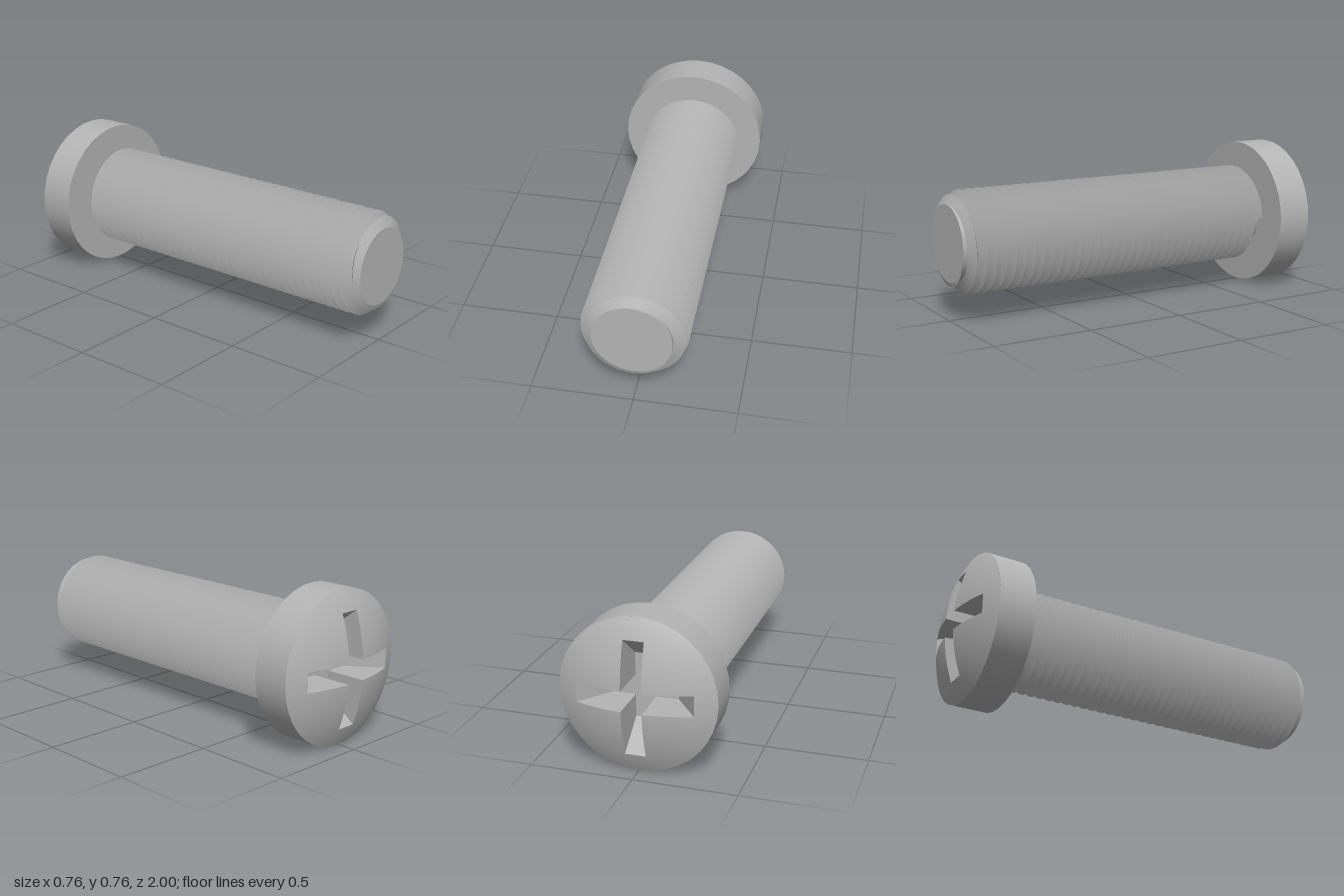
import * as THREE from 'three';

const HEAD_R = 0.38, CORE_R = 0.19, THREAD_R = 0.255, PITCH = 0.05;
const HEAD_FRONT = 0.72, RIM = 0.905;      // distances along the axis towards the head
const SPHERE_R = 0.8075;                   // radius of the domed top
const ARM = 0.28, HALF = 0.05, FLAT = 0.16, FLOOR = 0.79; // cross recess

const domeHeight = (x, y) => 1 - SPHERE_R + Math.sqrt(SPHERE_R ** 2 - x * x - y * y);

function meshFrom(name, positions, index, material, normals) {
  const g = new THREE.BufferGeometry();
  g.setAttribute('position', new THREE.Float32BufferAttribute(positions, 3));
  if (index) g.setIndex(index);
  if (normals) g.setAttribute('normal', new THREE.Float32BufferAttribute(normals, 3));
  else g.computeVertexNormals();
  return named(name, g, material);
}

function named(name, geometry, material) {
  const m = new THREE.Mesh(geometry, material);
  m.name = name;
  return m;
}

// Quarter turns about the axis
function turn([x, y], k) {
  for (let i = 0; i < k; i++) [x, y] = [-y, x];
  return [x, y];
}

// Cross-shaped outline, counter-clockwise
function crossOutline() {
  const steps = [0.05, 0.06, 0.07, 0.085, 0.105, 0.13, 0.16, 0.2, 0.24, ARM];
  const arm = [
    ...steps.map((s) => [s, -HALF]),
    [ARM, -0.025], [ARM, 0], [ARM, 0.025],
    ...steps.slice(1).reverse().map((s) => [s, HALF]),
  ];
  return [0, 1, 2, 3].flatMap((k) => arm.map((p) => turn(p, k)));
}

// Domed top running from the cross outline to the 36-sided rim
function makeDome(outline, material) {
  const rings = 10, n = outline.length, pos = [], nor = [], idx = [];
  const step = Math.PI / 18;
  for (const [x, y] of outline) {
    const a = Math.atan2(y, x);
    const local = a - Math.floor(a / step) * step - step / 2;
    const r = HEAD_R * Math.cos(step / 2) / Math.cos(local);
    for (let j = 0; j <= rings; j++) {
      const px = THREE.MathUtils.lerp(x, r * Math.cos(a), j / rings);
      const py = THREE.MathUtils.lerp(y, r * Math.sin(a), j / rings);
      const w = domeHeight(px, py);
      pos.push(px, py, w);
      nor.push(px / SPHERE_R, py / SPHERE_R, (w - 1 + SPHERE_R) / SPHERE_R);
    }
  }
  for (let i = 0; i < n; i++) {
    for (let j = 0; j < rings; j++) {
      const a = i * (rings + 1) + j, b = ((i + 1) % n) * (rings + 1) + j;
      idx.push(a, a + 1, b + 1, a, b + 1, b);
    }
  }
  return meshFrom('headDome', pos, idx, material, nor);
}

// Walls and floor of the cross recess
function makeRecess(outline, material) {
  const pos = [];
  const quad = (a, b, c, d) => pos.push(...a, ...b, ...c, ...a, ...c, ...d);
  const floorAt = ([x, y]) => {
    const s = Math.max(Math.abs(x), Math.abs(y));
    return s <= FLAT ? FLOOR : FLOOR + (0.95 - FLOOR) * (s - FLAT) / (ARM - FLAT);
  };
  outline.forEach((p, i) => {
    const q = outline[(i + 1) % outline.length];
    quad([...p, domeHeight(...p)], [...q, domeHeight(...q)], [...q, floorAt(q)], [...p, floorAt(p)]);
  });
  const floorQuad = (x0, x1, k) => quad(...[[x0, -HALF], [x1, -HALF], [x1, HALF], [x0, HALF]]
    .map((p) => [...turn(p, k), floorAt(p)]));
  floorQuad(-HALF, HALF, 0);
  for (let k = 0; k < 4; k++) {
    floorQuad(HALF, FLAT, k);
    floorQuad(FLAT, ARM, k);
  }
  return meshFrom('crossRecess', pos, null, material);
}

// Helical V thread that fades out at the tip
function makeThread(material) {
  const perTurn = 36, turns = 34.4, count = Math.round(turns * perTurn);
  const pos = [], idx = [];
  for (let i = 0; i <= count; i++) {
    const t = i / perTurn, a = t * Math.PI * 2, z0 = -HEAD_FRONT + t * PITCH;
    const fade = Math.sqrt(THREE.MathUtils.clamp((33.9 - t) / 1.3, 0, 1));
    const peak = CORE_R + (THREAD_R - CORE_R) * fade;
    const section = [[CORE_R, 0], [peak, 0.5], [peak, 0.5], [CORE_R, 1]];
    for (const [r, s] of section) {
      pos.push(r * Math.cos(a), r * Math.sin(a), Math.min(1, z0 + s * PITCH));
    }
    if (i === count) break;
    for (const k of [0, 2]) {
      const p = i * 4 + k, q = p + 4;
      idx.push(p, q, q + 1, p, q + 1, p + 1);
    }
  }
  // Blunt start face beside the head
  const base = pos.length / 3;
  pos.push(CORE_R, 0, -HEAD_FRONT, THREAD_R, 0, -HEAD_FRONT + PITCH / 2, CORE_R, 0, -HEAD_FRONT + PITCH);
  idx.push(base, base + 1, base + 2);
  return meshFrom('thread', pos, idx, material);
}

export function createModel() {
  const steel = new THREE.MeshStandardMaterial({ color: 0xb4b4b4 });
  steel.name = 'steel grey';

  const model = new THREE.Group();
  model.name = 'machineScrew';

  // Head, built facing +z and turned to the back
  const head = new THREE.Group();
  head.name = 'head';
  const side = new THREE.CylinderGeometry(HEAD_R, HEAD_R, RIM - HEAD_FRONT, 36, 1, true);
  side.rotateX(Math.PI / 2).translate(0, 0, (RIM + HEAD_FRONT) / 2);
  const under = new THREE.CircleGeometry(HEAD_R, 36);
  under.rotateY(Math.PI).translate(0, 0, HEAD_FRONT);
  const outline = crossOutline();
  head.add(
    named('headSide', side, steel),
    named('headUnderside', under, steel),
    makeDome(outline, steel),
    makeRecess(outline, steel),
  );
  head.rotation.y = Math.PI;

  // Threaded shank
  const shank = new THREE.Group();
  shank.name = 'shank';
  const core = new THREE.CylinderGeometry(CORE_R, CORE_R, 1 + HEAD_FRONT, 36);
  core.rotateX(Math.PI / 2).translate(0, 0, (1 - HEAD_FRONT) / 2);
  shank.add(named('core', core, steel), makeThread(steel));

  model.add(head, shank);
  head.position.y = shank.position.y = HEAD_R;
  return model;
}
